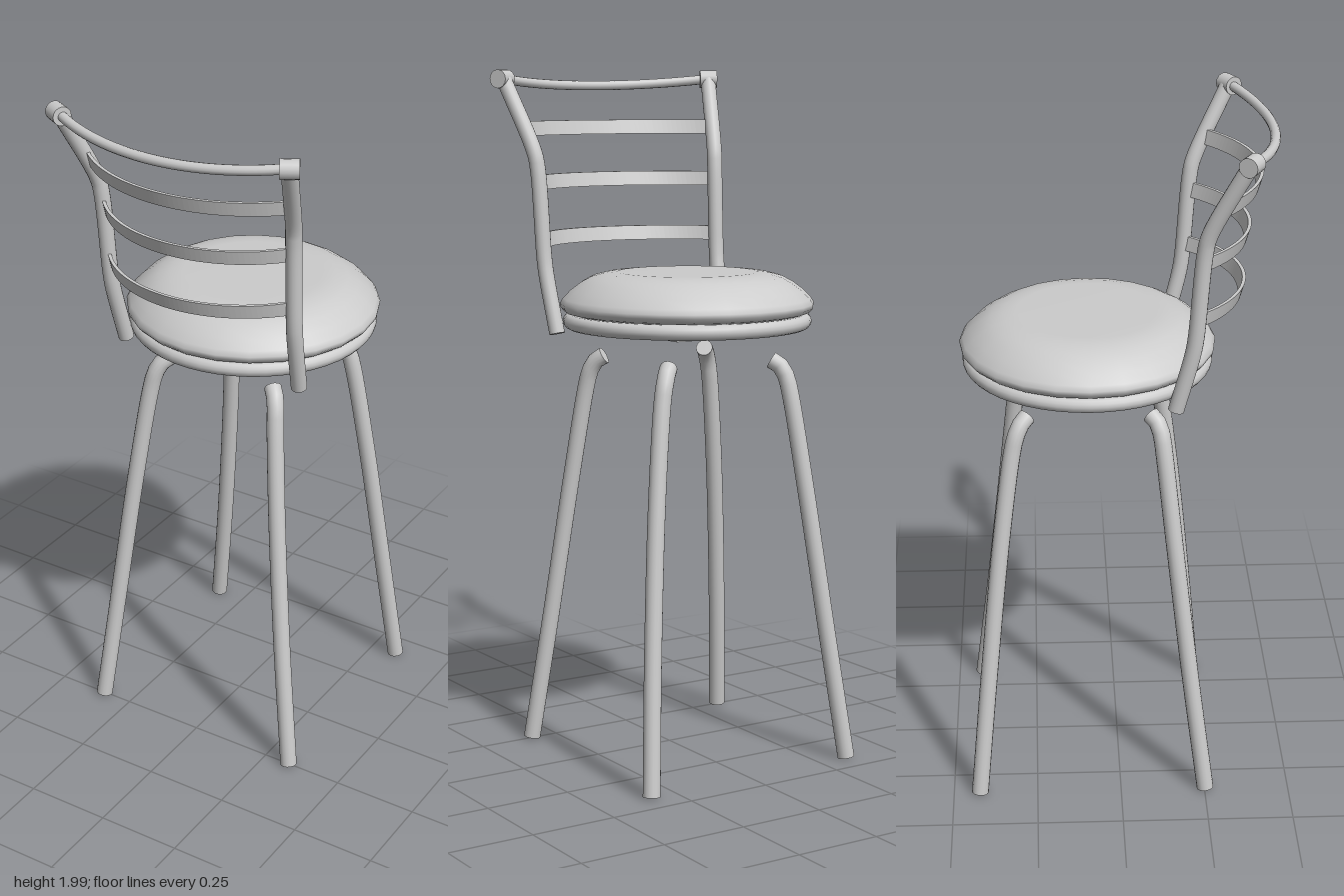
import * as THREE from 'three';
import { mergeGeometries } from 'three/addons/utils/BufferGeometryUtils.js';

const CX = -0.006, CZ = -0.085; // seat axis

const material = new THREE.MeshStandardMaterial({ color: 0xcccccc });
const thinMaterial = new THREE.MeshStandardMaterial({ color: 0xcccccc, side: THREE.DoubleSide });

function add(parent, name, geometry, mat = material) {
  const mesh = new THREE.Mesh(geometry, mat);
  mesh.name = name;
  parent.add(mesh);
  return mesh;
}

// Round bar along a smooth path, closed with a disc at each end
function rod(points, radius, segments = 32, sides = 16) {
  const curve = new THREE.CatmullRomCurve3(points.map(p => new THREE.Vector3(...p)), false, 'centripetal');
  const parts = [new THREE.TubeGeometry(curve, segments, radius, sides)];
  for (const t of [0, 1]) {
    const outward = curve.getTangent(t).multiplyScalar(t ? 1 : -1);
    const cap = new THREE.CircleGeometry(radius, sides);
    cap.applyQuaternion(new THREE.Quaternion().setFromUnitVectors(new THREE.Vector3(0, 0, 1), outward));
    cap.translate(...curve.getPoint(t).toArray());
    parts.push(cap);
  }
  return mergeGeometries(parts);
}

// Circle through (-half, zEnd), (0, zMid), (half, zEnd)
function arcThrough(half, zEnd, zMid) {
  const sag = zMid - zEnd;
  const radius = (half * half + sag * sag) / (2 * sag);
  return { radius, centre: zMid - radius, angle: Math.asin(half / radius) };
}

// Curved flat slat, leaning back with height
function slat(y, half, zEnd, zMid, height = 0.042, thickness = 0.01) {
  const { radius, centre, angle } = arcThrough(half, zEnd, zMid);
  const shape = new THREE.Shape();
  shape.absarc(0, 0, radius, Math.PI / 2 - angle, Math.PI / 2 + angle, false);
  shape.absarc(0, 0, radius - thickness, Math.PI / 2 + angle, Math.PI / 2 - angle, true);
  const geometry = new THREE.ExtrudeGeometry(shape, { depth: height, bevelEnabled: false, curveSegments: 24 });
  geometry.rotateX(Math.PI / 2);
  geometry.translate(0, height / 2, 0);
  geometry.applyMatrix4(new THREE.Matrix4().set(1, 0, 0, 0, 0, 1, 0, 0, 0, 0.3, 1, 0, 0, 0, 0, 1));
  geometry.translate(0, y, centre);
  return geometry;
}

function createSeat() {
  const seat = new THREE.Group();
  seat.name = 'seat';
  seat.position.set(CX, 0, CZ);

  // Padded cushion
  const profile = [
    [0, 1.306], [0.335, 1.306], [0.354, 1.312], [0.365, 1.324], [0.367, 1.336], [0.358, 1.35],
    [0.335, 1.374], [0.305, 1.396], [0.275, 1.412], [0.24, 1.421], [0.2, 1.425], [0, 1.425],
  ].map(p => new THREE.Vector2(...p));
  add(seat, 'cushion', new THREE.LatheGeometry(profile, 24));

  // Tubular ring and crossed bars beneath
  const ring = new THREE.TorusGeometry(0.337, 0.022, 14, 48);
  ring.rotateX(Math.PI / 2);
  add(seat, 'seatRing', ring).position.y = 1.285;
  for (const turn of [1, -1]) {
    const bar = add(seat, 'crossBar', new THREE.BoxGeometry(0.65, 0.018, 0.028));
    bar.position.y = 1.279;
    bar.rotation.y = turn * Math.PI / 4;
  }

  // Mounting plate
  add(seat, 'mountSpacer', new THREE.BoxGeometry(0.15, 0.03, 0.15)).position.y = 1.256;
  add(seat, 'mountPlate', new THREE.BoxGeometry(0.2, 0.009, 0.2)).position.y = 1.24;
  return seat;
}

function createLegs() {
  const legs = new THREE.Group();
  legs.name = 'legs';
  legs.position.set(CX, 0, CZ);
  // One leg, slightly bowed sideways, repeated around the seat axis
  const geometry = rod([
    [0.337, 0.01, 0.337], [0.287, 0.4, 0.3], [0.241, 0.8, 0.258],
    [0.21, 1.08, 0.22], [0.203, 1.13, 0.208], [0.19, 1.162, 0.192], [0.174, 1.175, 0.176],
  ], 0.025, 40);
  for (let i = 0; i < 4; i++) add(legs, 'leg', geometry).rotation.y = i * Math.PI / 2;
  return legs;
}

function createBackrest() {
  const back = new THREE.Group();
  back.name = 'backrest';

  // Top rail, dipping a little in the middle
  const { radius, centre, angle } = arcThrough(0.36, 0.338, 0.433);
  const railPoints = [];
  for (let i = -6; i <= 6; i++) {
    const a = angle * i / 6;
    railPoints.push([radius * Math.sin(a), 1.954 + 0.02 * (i / 6) ** 2, centre + radius * Math.cos(a)]);
  }
  add(back, 'topRail', rod(railPoints, 0.014, 36, 12));

  for (const side of [-1, 1]) {
    // Bent upright post
    add(back, 'post', rod([
      [0.29, 1.24, 0.153], [0.3, 1.41, 0.196], [0.302, 1.46, 0.204], [0.309, 1.71, 0.224],
      [0.314, 1.76, 0.234], [0.358, 1.972, 0.335],
    ].map(([x, y, z]) => [side * x, y, z]), 0.023, 40));

    // Sleeve joining post and rail
    const sleeve = new THREE.CylinderGeometry(0.027, 0.027, 0.052, 16);
    sleeve.rotateZ(Math.PI / 2);
    const joint = add(back, 'railSleeve', sleeve);
    joint.position.set(side * 0.361, 1.973, 0.338);
    joint.rotation.y = side * angle;
  }

  // Slats: height, half width, depth at the posts, depth in the middle
  for (const s of [[1.83, 0.322, 0.268, 0.4], [1.675, 0.307, 0.222, 0.37], [1.51, 0.303, 0.208, 0.358]]) {
    add(back, 'slat', slat(...s), thinMaterial);
  }
  return back;
}

export function createModel() {
  const model = new THREE.Group();
  model.name = 'barStool';
  model.add(createSeat(), createLegs(), createBackrest());
  return model;
}
